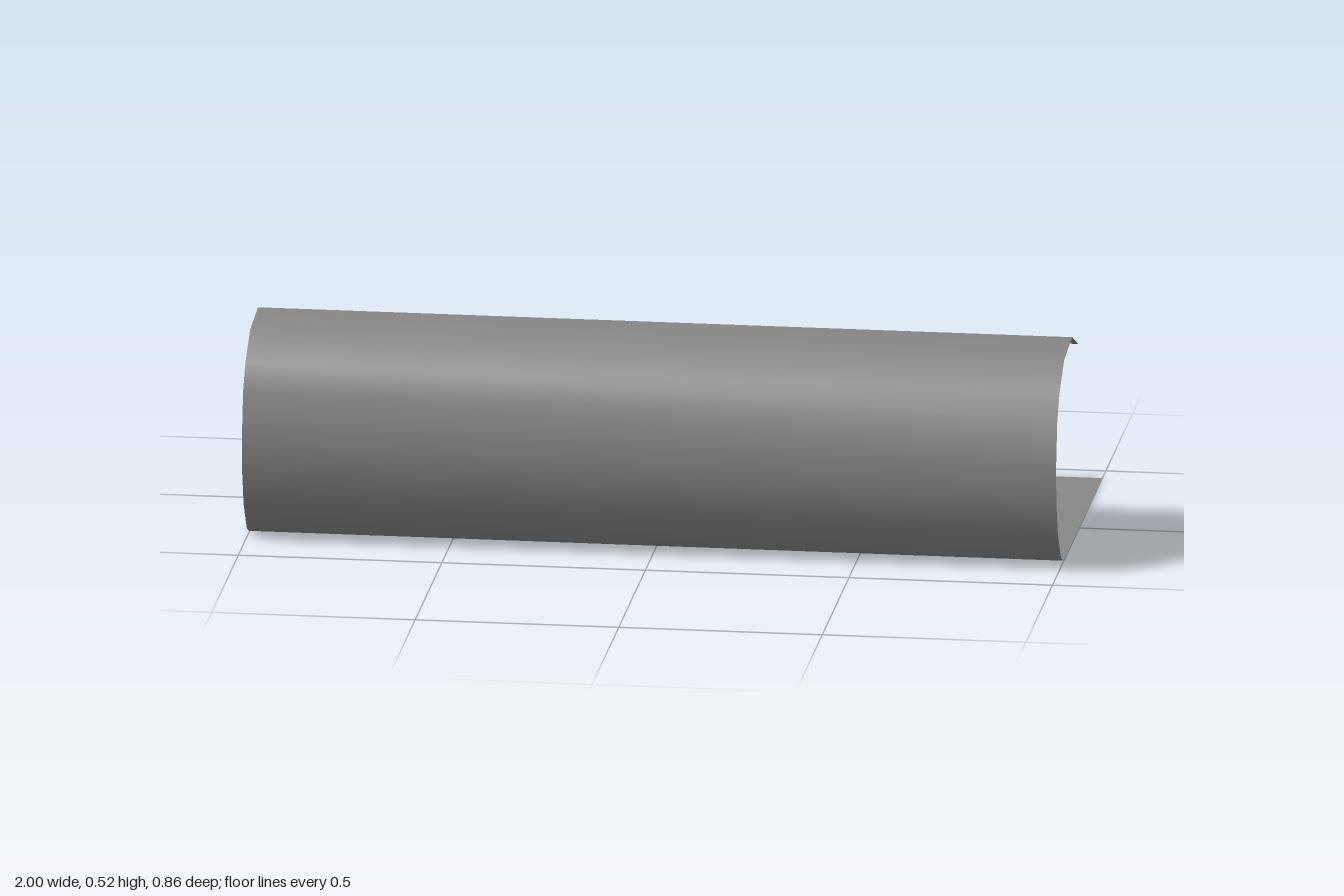
import * as THREE from 'three';

const sheetMat = new THREE.MeshStandardMaterial({ color: 0x888888, side: THREE.DoubleSide });
const woodMat = new THREE.MeshStandardMaterial({ color: 0xc4ad7c });
const blackMat = new THREE.MeshStandardMaterial({ color: 0x111111 });

// Cross-section of the curled sheet as [z, y], from floor edge to overhanging lip
const PROFILE = [
  [-0.43, 0.002], [0.24, 0.002], [0.3, 0.004], [0.34, 0.022], [0.4, 0.1], [0.428, 0.19],
  [0.432, 0.28], [0.41, 0.39], [0.367, 0.45], [0.28, 0.508], [0.13, 0.522], [0.017, 0.472],
];

function addMesh(parent, name, geometry, material, x, y, z) {
  const mesh = new THREE.Mesh(geometry, material);
  mesh.name = name;
  mesh.position.set(x, y, z);
  parent.add(mesh);
  return mesh;
}

// Plane whose rows follow the cross-section, with its front facing inwards
function curledSheet(width) {
  const geo = new THREE.PlaneGeometry(width, 1, 1, PROFILE.length - 1);
  const pos = geo.attributes.position;
  for (let i = 0; i < pos.count; i++) {
    const [z, y] = PROFILE[Math.floor(i / 2)];
    pos.setXYZ(i, pos.getX(i), y, z);
  }
  geo.computeVertexNormals();
  return geo;
}

export function createModel() {
  const model = new THREE.Group();
  model.name = 'curvedShelter';
  addMesh(model, 'curledSheet', curledSheet(2), sheetMat, 0, 0, 0);

  // Small stand inside the curl
  const stand = new THREE.Group();
  stand.name = 'panelStand';
  stand.position.set(-0.018, 0, 0.243);
  model.add(stand);
  addMesh(stand, 'basePlate', new THREE.BoxGeometry(0.068, 0.004, 0.042), blackMat, 0, 0.002, 0);
  addMesh(stand, 'post', new THREE.CylinderGeometry(0.002, 0.002, 0.196, 8), blackMat, 0, 0.102, 0);
  addMesh(stand, 'postTaper', new THREE.CylinderGeometry(0.002, 0.007, 0.1, 8), blackMat, 0, 0.15, 0);

  // Twin wooden boards joined by a thin front plate
  for (const side of [-1, 1]) {
    addMesh(stand, side > 0 ? 'leftBoard' : 'rightBoard',
      new THREE.BoxGeometry(0.03, 0.19, 0.028), woodMat, side * 0.0235, 0.165, -0.001);
  }
  addMesh(stand, 'frontPlate', new THREE.BoxGeometry(0.077, 0.19, 0.002), blackMat, 0, 0.165, 0.014);
  return model;
}
